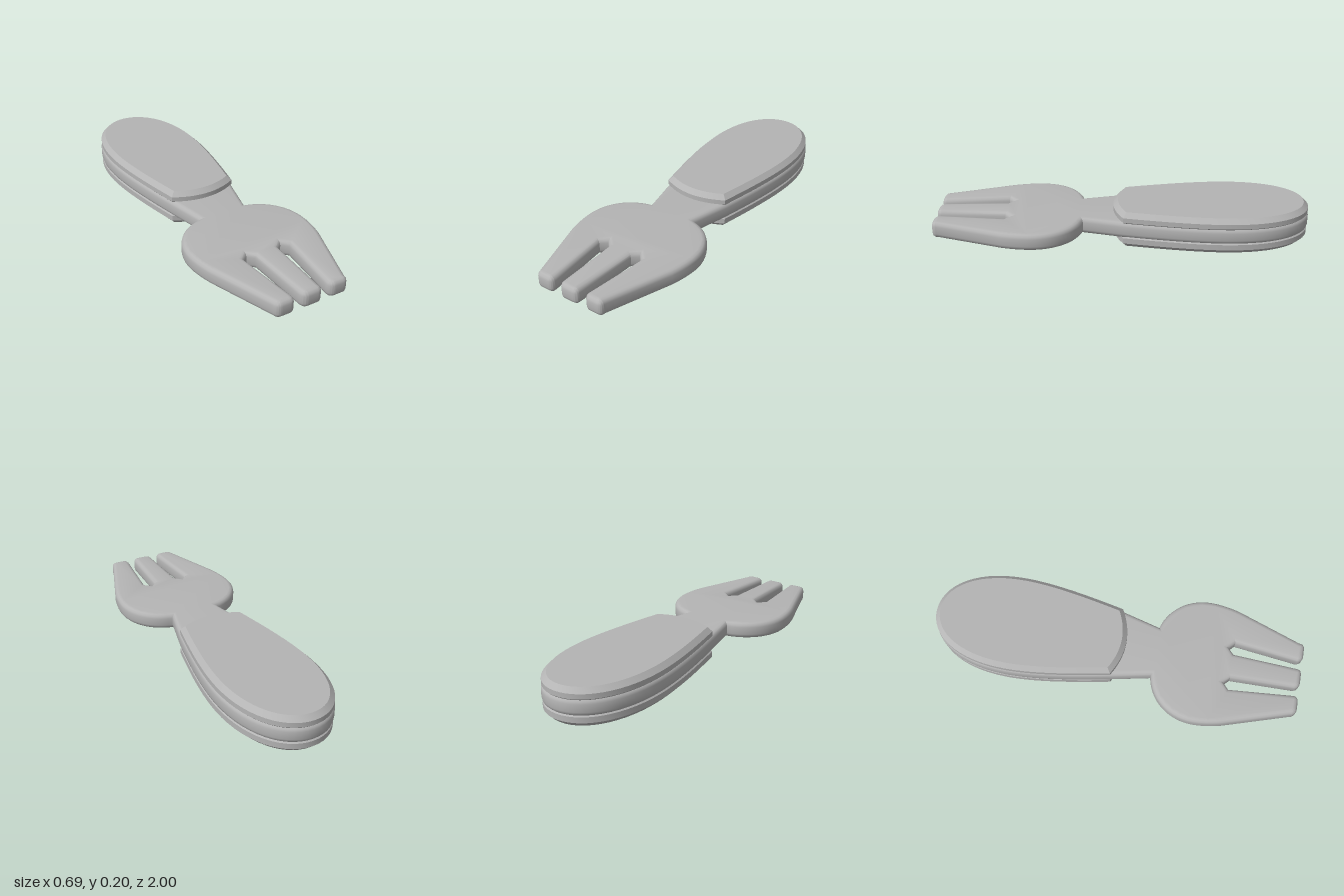
import * as THREE from 'three';
import { toCreasedNormals } from 'three/addons/utils/BufferGeometryUtils.js';

const CX = 0.01; // centre line of the handle

// Outlines are drawn as (x, z) and extruded vertically between y0 and y1.
function slab(name, shape, y0, y1, inset, bevel, segments, material) {
  const geo = new THREE.ExtrudeGeometry(shape, {
    depth: y1 - y0 - 2 * bevel, curveSegments: 14,
    bevelEnabled: true, bevelThickness: bevel, bevelSize: bevel,
    bevelOffset: -bevel - inset, bevelSegments: segments,
  });
  geo.rotateX(Math.PI / 2).translate(0, y1 - bevel, 0);
  const mesh = new THREE.Mesh(toCreasedNormals(geo, 0.6), material);
  mesh.name = name;
  return mesh;
}

// Rounded handle edge, from its left front corner round the rear to the right
function handleEdge(shape) {
  shape.bezierCurveTo(CX + 0.232, -0.2, CX + 0.27, -0.4, CX + 0.27, -0.56);
  shape.bezierCurveTo(CX + 0.27, -0.84, CX + 0.15, -1, CX, -1);
  shape.bezierCurveTo(CX - 0.15, -1, CX - 0.27, -0.84, CX - 0.27, -0.56);
  shape.bezierCurveTo(CX - 0.27, -0.4, CX - 0.232, -0.2, CX - 0.19, 0);
}

function forkShape() {
  const s = new THREE.Shape();
  s.moveTo(CX + 0.19, 0);
  handleEdge(s);
  // neck and left-hand side of the head
  s.lineTo(-0.133, 0.21);
  s.bezierCurveTo(-0.26, 0.235, -0.345, 0.34, -0.345, 0.47);
  s.bezierCurveTo(-0.345, 0.52, -0.335, 0.58, -0.32, 0.63);
  // three tines with two pointed slots between them
  const tip = (x0, x1) => {
    const r = 0.03;
    s.lineTo(x0 - 0.006, 1 - r);
    s.quadraticCurveTo(x0, 1, x0 + r, 1);
    s.lineTo(x1 - r, 1);
    s.quadraticCurveTo(x1, 1, x1, 1 - r);
  };
  const slot = (a, peak, b) => {
    s.lineTo(a, 0.63);
    s.lineTo(peak, 0.6);
    s.lineTo(b, 0.63);
  };
  tip(-0.2, -0.1);
  slot(-0.132, -0.1, -0.068);
  tip(-0.053, 0.053);
  slot(0.068, 0.1, 0.132);
  tip(0.1, 0.2);
  // right-hand side of the head and neck
  s.lineTo(0.32, 0.63);
  s.bezierCurveTo(0.335, 0.58, 0.345, 0.52, 0.345, 0.47);
  s.bezierCurveTo(0.345, 0.34, 0.26, 0.235, 0.145, 0.21);
  s.closePath();
  return s;
}

function scaleShape() {
  const s = new THREE.Shape();
  s.moveTo(CX + 0.19, 0);
  handleEdge(s);
  s.quadraticCurveTo(CX, 0.108, CX + 0.19, 0); // bowed front edge
  return s;
}

export function createModel() {
  const grey = new THREE.MeshStandardMaterial({ color: 0xb4b4b4 });
  grey.name = 'grey';
  const group = new THREE.Group();
  group.name = 'fork';
  group.add(slab('forkBlade', forkShape(), 0.055, 0.145, 0, 0.025, 3, grey));
  // handle scales, sunk slightly into the blade
  group.add(slab('lowerHandleScale', scaleShape(), 0, 0.08, 0.003, 0.025, 1, grey));
  group.add(slab('upperHandleScale', scaleShape(), 0.12, 0.196, 0.003, 0.025, 1, grey));
  return group;
}
